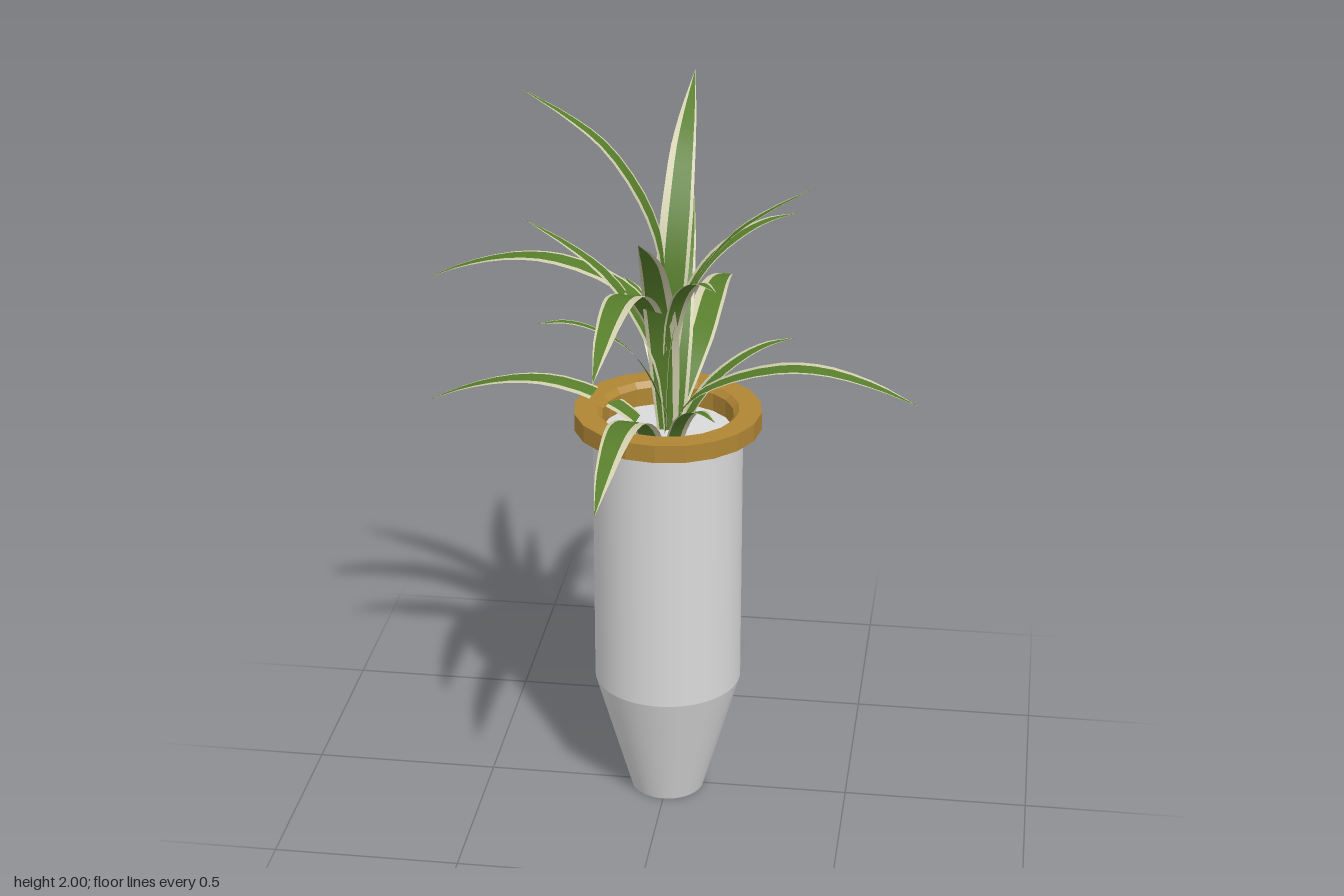
import * as THREE from 'three';

const mat = (name, color, side = THREE.FrontSide) => {
  const m = new THREE.MeshStandardMaterial({ color, side });
  m.name = name;
  return m;
};

export function createModel() {
  const model = new THREE.Group();
  const white = mat('potWhite', 0xdadada, THREE.DoubleSide);
  const gold = mat('rimGold', 0xb08634);
  const green = mat('leafGreen', 0x587f2c, THREE.DoubleSide);
  const cream = mat('leafCream', 0xd2d0ae, THREE.DoubleSide);

  const add = (parent, name, geo, material) => {
    const mesh = new THREE.Mesh(geo, material);
    mesh.name = name;
    parent.add(mesh);
    return mesh;
  };
  const profile = (pts) => pts.map(([r, y]) => new THREE.Vector2(r, y));

  // Tapered vase: separate lathes keep the shoulder crisp
  const taper = new THREE.LatheGeometry(profile([[0.1, 0], [0.2, 0.35]]), 40);
  add(model, 'potTaper', taper, white);
  add(model, 'potBody', new THREE.LatheGeometry(profile([[0.2, 0.35], [0.2, 1.1]]), 40), white);
  const base = add(model, 'potBase', new THREE.CircleGeometry(0.1, 40), white);
  base.rotation.x = Math.PI / 2;
  const filling = add(model, 'potFilling', new THREE.CircleGeometry(0.185, 40), white);
  filling.rotation.x = -Math.PI / 2;
  filling.position.y = 1.08;

  // Flat collar with a bevelled opening
  const rim = new THREE.LatheGeometry(profile([
    [0.175, 1.075], [0.19, 1.097], [0.25, 1.097], [0.25, 1.145], [0.19, 1.145], [0.175, 1.13], [0.175, 1.075],
  ]), 20).toNonIndexed();
  rim.computeVertexNormals();
  add(model, 'rim', rim, gold);

  // Flat ribbon leaf: path points with half widths, cream margins around a green middle
  const ROWS = 16;
  const leafGeometry = (path, halfWidths) => {
    const pts = path.map((p) => new THREE.Vector3(...p));
    const curve = new THREE.CatmullRomCurve3(pts);
    const tip = pts[pts.length - 1];
    const right = new THREE.Vector3(-(tip.z - pts[0].z), 0, tip.x - pts[0].x).normalize();
    const cuts = [-1, -0.52, 0.78, 1];
    const positions = [];
    const n = halfWidths.length - 1;
    for (let i = 0; i <= ROWS; i++) {
      const t = i / ROWS;
      const k = Math.min(Math.floor(t * n), n - 1);
      const w = THREE.MathUtils.lerp(halfWidths[k], halfWidths[k + 1], t * n - k);
      const p = curve.getPoint(t);
      for (const c of cuts) positions.push(...p.clone().addScaledVector(right, c * w).toArray());
    }
    const geo = new THREE.BufferGeometry();
    const index = [];
    for (let c = 0; c < 3; c++) {
      geo.addGroup(index.length, ROWS * 6, c === 1 ? 1 : 0);
      for (let i = 0; i < ROWS; i++) {
        const a = i * 4 + c;
        index.push(a, a + 1, a + 4, a + 1, a + 5, a + 4);
      }
    }
    geo.setAttribute('position', new THREE.Float32BufferAttribute(positions, 3));
    geo.setIndex(index);
    geo.computeVertexNormals();
    return geo;
  };

  const leaves = {
    archingLeaf: leafGeometry([
      [0, 1.27, -0.01], [-0.06, 1.4, -0.045], [-0.15, 1.47, -0.065], [-0.3, 1.52, -0.075],
      [-0.42, 1.522, -0.08], [-0.55, 1.49, -0.086], [-0.665, 1.44, -0.09],
    ], [0.022, 0.036, 0.042, 0.042, 0.035, 0.022, 0]),
    uprightLeaf: leafGeometry([
      [0, 1.27, 0], [0.005, 1.4, -0.005], [0.01, 1.55, -0.022], [0.015, 1.675, -0.07],
      [0.017, 1.805, -0.16], [0.019, 1.88, -0.255], [0.02, 1.955, -0.385],
    ], [0.025, 0.036, 0.044, 0.042, 0.034, 0.022, 0]),
    smallLeaf: leafGeometry([
      [0, 1.27, 0], [0.02, 1.4, 0.04], [0.05, 1.5, 0.1], [0.09, 1.565, 0.18],
      [0.125, 1.595, 0.25], [0.165, 1.6, 0.32],
    ], [0.015, 0.025, 0.028, 0.024, 0.016, 0]),
  };

  // Six sprigs, each a quarter turn on from the last
  const plant = new THREE.Group();
  plant.name = 'plant';
  model.add(plant);
  [0, 0.045, -0.215, -0.17, -0.35, -0.305].forEach((height, i) => {
    const sprig = new THREE.Group();
    sprig.name = 'sprig' + (i + 1);
    for (const [name, geo] of Object.entries(leaves)) add(sprig, name, geo, [cream, green]);
    sprig.rotation.y = i * Math.PI / 2;
    sprig.position.y = height;
    plant.add(sprig);
  });

  return model;
}
